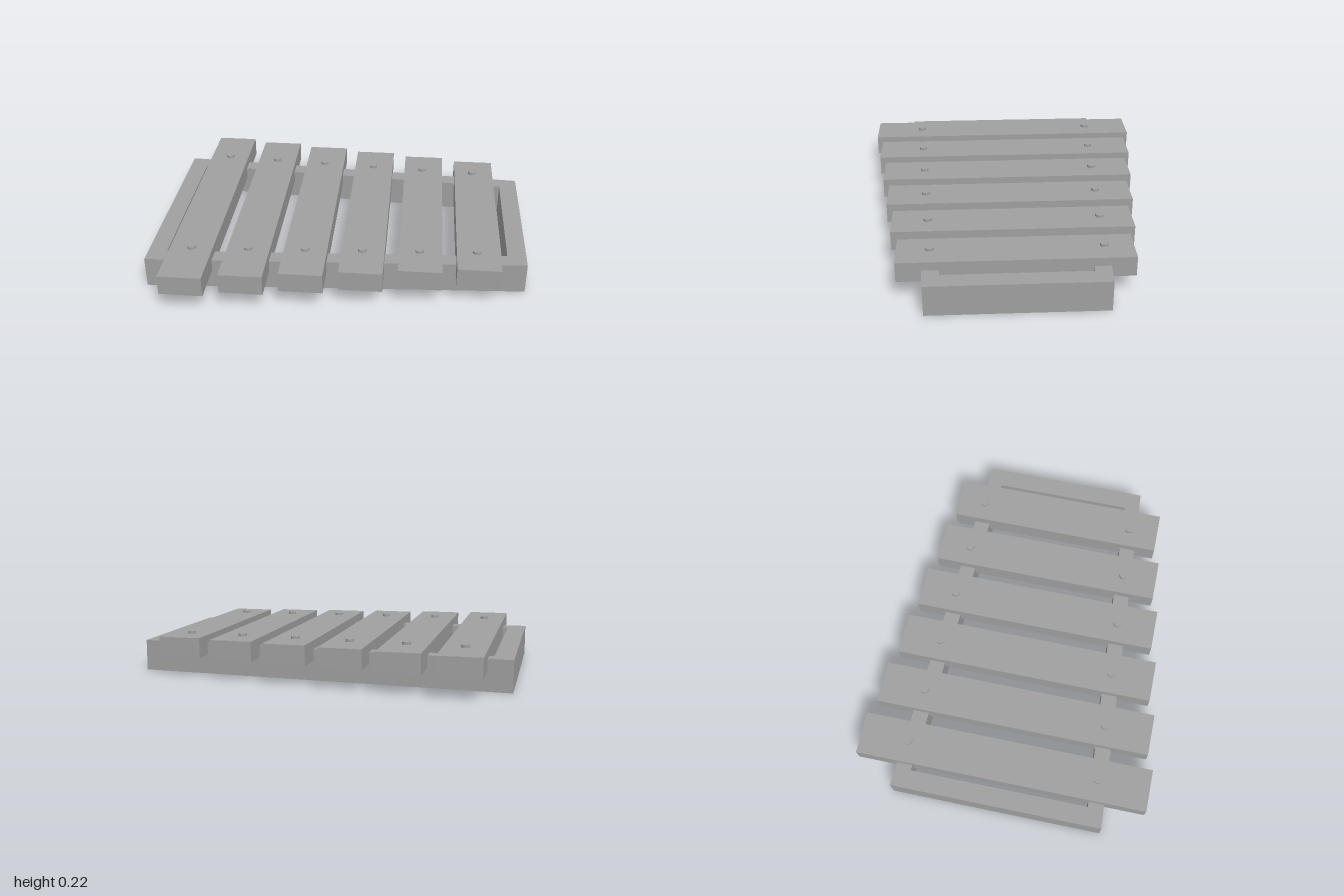
import * as THREE from 'three';

export function createModel() {
  const group = new THREE.Group();
  const material = new THREE.MeshStandardMaterial({ color: 0xa0a0a0, flatShading: true });
  const add = (name, geometry, x = 0, y = 0, z = 0) => {
    const mesh = new THREE.Mesh(geometry, material);
    mesh.name = name;
    mesh.position.set(x, y, z);
    group.add(mesh);
  };

  // Tapered frame: a trapezoid with a trapezoidal opening
  const trapezoid = (halfX, wide, narrow) => [
    [-halfX, -wide], [halfX, -narrow], [halfX, narrow], [-halfX, wide],
  ].map(([x, y]) => new THREE.Vector2(x, y));
  const outline = new THREE.Shape(trapezoid(1, 0.575, 0.457));
  outline.holes.push(new THREE.Path(trapezoid(0.9, 0.485, 0.376)));
  const frame = new THREE.ExtrudeGeometry(outline, { depth: 0.165, bevelEnabled: false });
  frame.rotateX(-Math.PI / 2);
  add('frame', frame);

  // Six sounding bars, each shorter than the last, with a pin at both rails
  const pin = new THREE.CylinderGeometry(0.022, 0.022, 0.045, 24);
  for (let i = 0; i < 6; i++) {
    const x = -0.759 + 0.3007 * i;
    add('bar' + (i + 1), new THREE.BoxGeometry(0.226, 0.107, 1.578 - 0.079 * i), x, 0.157, 0);
    const pinX = -0.757 + 0.2985 * i;
    add('backPin' + (i + 1), pin, pinX, 0.2025, -0.529 + 0.0172 * i);
    add('frontPin' + (i + 1), pin, pinX, 0.2025, 0.513 - 0.0174 * i);
  }
  return group;
}
